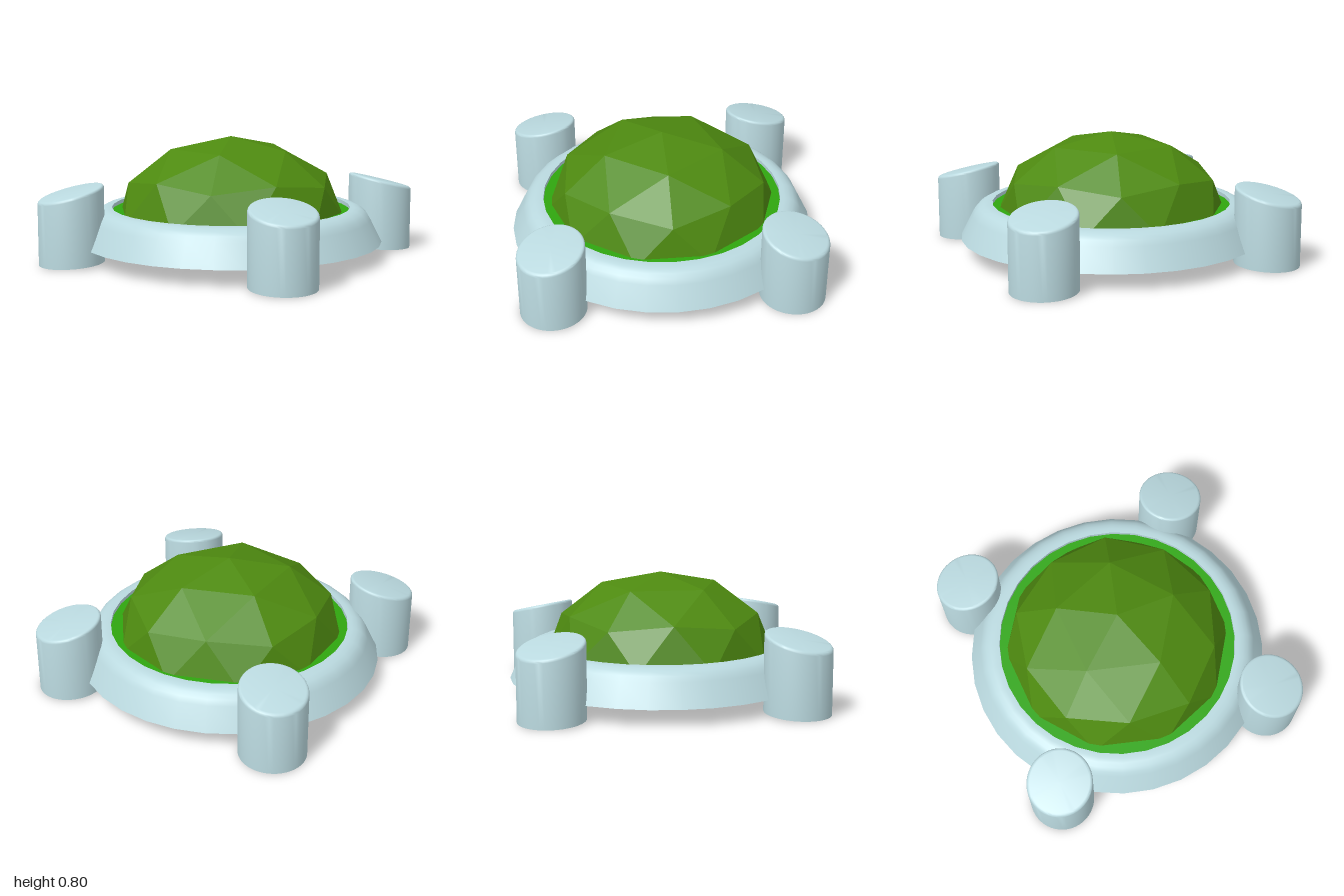
import * as THREE from 'three';
import { toCreasedNormals } from 'three/addons/utils/BufferGeometryUtils.js';

const v2 = (pts) => pts.map(([x, y]) => new THREE.Vector2(x, y));

// Quarter-round edge from the vertical side to the flat top
function roundEdge(radius, height, bevel, steps) {
  const pts = [];
  for (let i = 0; i <= steps; i++) {
    const a = (i / steps) * Math.PI / 2;
    pts.push([radius - bevel + bevel * Math.cos(a), height - bevel + bevel * Math.sin(a)]);
  }
  return pts;
}

// Post whose top slopes down along the diagonal pointing away from the centre
function postGeometry(sx, sz) {
  const height = 0.47, bottom = 0.012;
  const profile = [[0, bottom], [0.212, bottom], ...roundEdge(0.212, height, 0.02, 4), [0, height]];
  const geo = new THREE.LatheGeometry(v2(profile), 48);
  const p = geo.attributes.position;
  for (let i = 0; i < p.count; i++) {
    const out = (sx * p.getX(i) + sz * p.getZ(i)) / Math.SQRT2;
    const slope = p.getY(i) > 0.2 ? 0.25 : 0.05;
    p.setY(i, p.getY(i) - slope * out);
  }
  return toCreasedNormals(geo, 0.6);
}

// Faceted half dome with a vertex at the pole and a flat underside
function domeGeometry() {
  const geo = new THREE.IcosahedronGeometry(1, 1);
  geo.rotateZ(-Math.atan(2 / (1 + Math.sqrt(5))));
  const p = geo.attributes.position;
  for (let i = 0; i < p.count; i++) p.setY(i, Math.max(p.getY(i), 0));
  geo.scale(0.76, 0.54, 0.76);
  geo.computeVertexNormals();
  return geo;
}

export function createModel() {
  const group = new THREE.Group();
  const material = (name, color, extra = {}) => {
    const m = new THREE.MeshStandardMaterial({ color, ...extra });
    m.name = name;
    return m;
  };
  const stone = material('pale stone', 0xbad9df);
  const leaf = material('dark foliage', 0x4e8a10, { flatShading: true });
  const grass = material('bright grass', 0x2fa60f);

  const add = (name, geo, mat, x = 0, y = 0, z = 0) => {
    const mesh = new THREE.Mesh(geo, mat);
    mesh.name = name;
    mesh.position.set(x, y, z);
    group.add(mesh);
  };

  // Sloping planter ring with a rounded rim and closed underside
  const ring = [
    [0, 0.11], [1, 0.11], [0.925, 0.26], [0.905, 0.293], [0.88, 0.316],
    [0.85, 0.331], [0.82, 0.337], [0.79, 0.337], [0.79, 0.29],
  ];
  add('planterRing', toCreasedNormals(new THREE.LatheGeometry(v2(ring), 32), 0.6), stone);

  // Grass bed just below the rim
  add('grassBed', new THREE.CircleGeometry(0.795, 32).rotateX(-Math.PI / 2), grass, 0, 0.312, 0);

  // Bush
  add('bush', domeGeometry(), leaf, 0, 0.26, 0);

  // Four corner posts
  for (const sx of [1, -1]) {
    for (const sz of [1, -1]) {
      const name = (sz > 0 ? 'front' : 'back') + (sx > 0 ? 'Left' : 'Right') + 'Post';
      add(name, postGeometry(sx, sz), stone, sx * 0.757, 0, sz * 0.757);
    }
  }
  return group;
}
